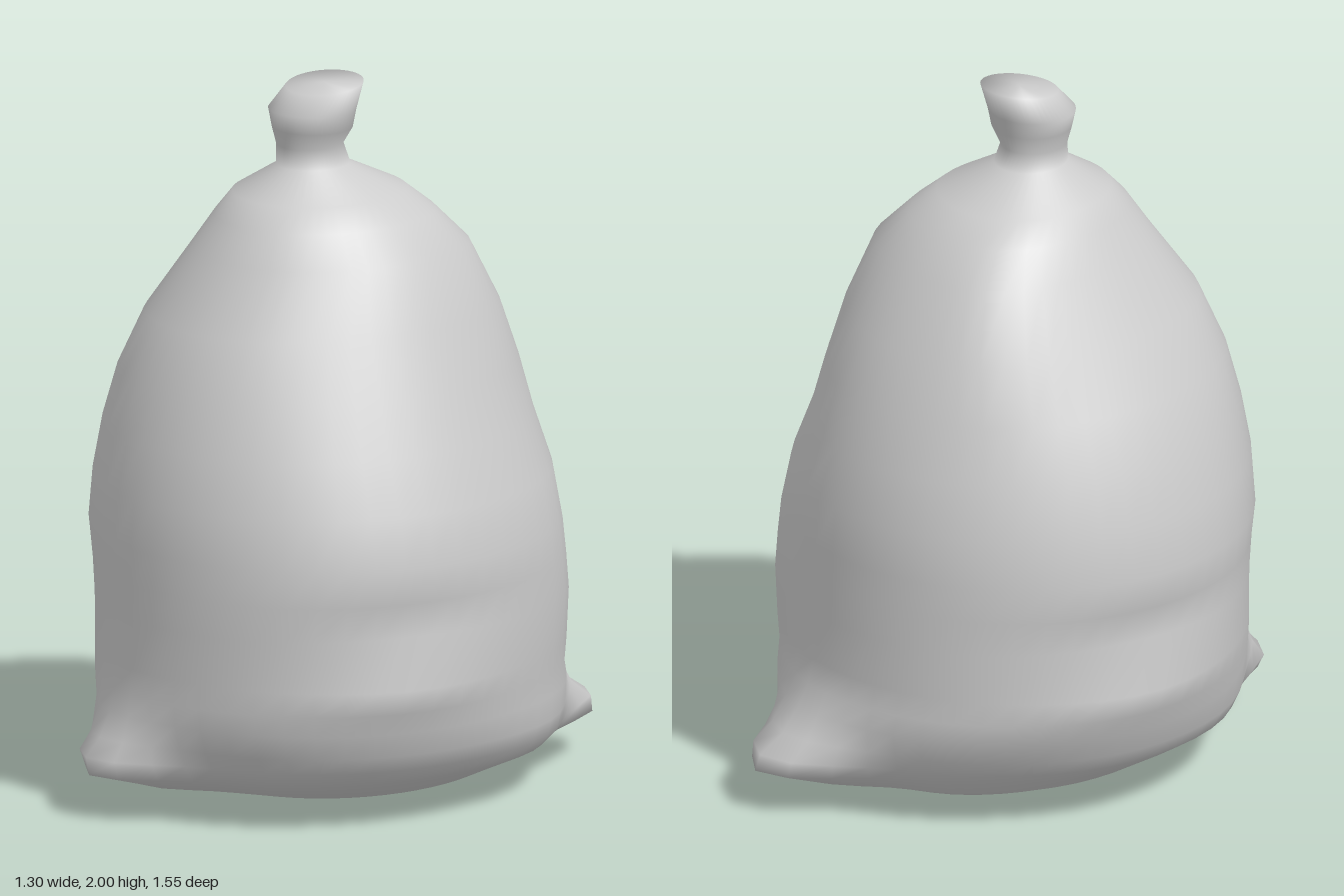
import * as THREE from 'three';

const SEGMENTS = 48;

// Rings from the base upward: [y, xMin, xMax, zBack, zFront, corner strength, slant]
const RINGS = [
  [0.02, -0.23, 0.26, -0.25, 0.25, 0.15],
  [0.045, -0.32, 0.36, -0.44, 0.37, 0.45],
  [0.075, -0.40, 0.42, -0.50, 0.49, 0.7],
  [0.125, -0.48, 0.52, -0.56, 0.58, 1],
  [0.17, -0.55, 0.565, -0.59, 0.61, 0.78],
  [0.22, -0.585, 0.595, -0.61, 0.645, 0.4],
  [0.29, -0.61, 0.615, -0.63, 0.67, 0.15],
  [0.35, -0.625, 0.62, -0.62, 0.675, 0.07],
  [0.42, -0.635, 0.63, -0.615, 0.675, 0.02],
  [0.56, -0.635, 0.635, -0.62, 0.68, 0],
  [0.66, -0.64, 0.64, -0.615, 0.68, 0],
  [0.76, -0.65, 0.64, -0.615, 0.68, 0],
  [0.90, -0.62, 0.61, -0.61, 0.675, 0],
  [1.05, -0.58, 0.55, -0.575, 0.64, 0],
  [1.20, -0.51, 0.50, -0.53, 0.60, 0],
  [1.36, -0.42, 0.43, -0.46, 0.53, 0],
  [1.54, -0.32, 0.36, -0.35, 0.41, 0],
  [1.63, -0.265, 0.285, -0.27, 0.35, 0],
  [1.69, -0.225, 0.22, -0.20, 0.29, 0],
  [1.765, -0.10, 0.09, -0.04, 0.17, 0],
  [1.82, -0.10, 0.075, -0.025, 0.165, 0],
  [1.87, -0.115, 0.11, -0.04, 0.18, 0],
  [1.92, -0.13, 0.12, -0.05, 0.185, 0],
  [1.987, -0.10, 0.12, -0.07, 0.14, 0, 0.12],
];

// Pulled-out bottom corners: one at the front, one at the back
const CORNERS = [
  { angle: 1.84, pull: 0.37 },
  { angle: -1.30, pull: 0.43 },
];

// Soft swells and dents of the cloth: [angle, y, amount, angular width, height]
const FOLDS = [
  // side bulges and the creases above them
  [0.35, 0.42, 0.05, 0.4, 0.08],
  [-2.95, 0.42, 0.04, 0.4, 0.08],
  [0.45, 0.57, -0.045, 0.45, 0.06],
  [-2.9, 0.57, -0.045, 0.4, 0.06],
  // shoulders
  [-2.3, 1.5, 0.13, 0.45, 0.2],
  [-0.65, 1.5, 0.09, 0.45, 0.22],
  [2.45, 1.38, 0.07, 0.5, 0.25],
  [0.75, 1.4, -0.05, 0.45, 0.25],
  // belly
  [-0.75, 0.5, 0.05, 0.4, 0.3],
  [0.8, 0.6, 0.025, 0.4, 0.3],
  [2.36, 0.5, -0.025, 0.35, 0.3],
  // underside
  [-0.6, 0.14, 0.08, 0.45, 0.1],
  [2.5, 0.14, 0.06, 0.45, 0.1],
  [-2.4, 0.16, -0.05, 0.45, 0.12],
];

const bell = (d, width) => Math.exp(-((d / width) ** 2));
const turn = (a, b) => Math.atan2(Math.sin(a - b), Math.cos(a - b));

function ringPoint([y, x0, x1, z0, z1, strength, slant = 0], angle) {
  let scale = 1;
  for (const c of CORNERS) scale += strength * c.pull * bell(turn(angle, c.angle), 0.3);
  for (const [a, h, amount, width, height] of FOLDS) {
    scale += amount * bell(turn(angle, a), width) * bell(y - h, height);
  }
  const x = (x0 + x1) / 2 + ((x1 - x0) / 2) * Math.cos(angle) * scale;
  const dz = ((z1 - z0) / 2) * Math.sin(angle) * scale;
  return [x, y - dz * slant, (z0 + z1) / 2 + dz];
}

// Skin a stack of rings and close each end on a single point
function loft(rings, bottom, top) {
  const positions = [];
  const index = [];
  for (const ring of rings) {
    for (let i = 0; i < SEGMENTS; i++) {
      positions.push(...ringPoint(ring, (i / SEGMENTS) * Math.PI * 2));
    }
  }
  const last = (rings.length - 1) * SEGMENTS;
  const base = positions.length / 3;
  positions.push(...bottom, ...top);
  for (let i = 0; i < SEGMENTS; i++) {
    const j = (i + 1) % SEGMENTS;
    for (let r = 0; r < last; r += SEGMENTS) {
      const a = r + i, b = r + j;
      index.push(a, a + SEGMENTS, b, b, a + SEGMENTS, b + SEGMENTS);
    }
    index.push(i, j, base, last + i, base + 1, last + j);
  }
  const geometry = new THREE.BufferGeometry();
  geometry.setAttribute('position', new THREE.Float32BufferAttribute(positions, 3));
  geometry.setIndex(index);
  geometry.computeVertexNormals();
  return geometry;
}

export function createModel() {
  const group = new THREE.Group();
  group.name = 'sack';

  // Filled bag with two bottom corners, running up into a gathered, slanted neck
  const body = new THREE.Mesh(
    loft(RINGS, [0, 0, 0.05], [0.01, 1.99, 0.035]),
    new THREE.MeshStandardMaterial({ color: 0xcccccc }),
  );
  body.name = 'sackBodyAndNeck';
  group.add(body);
  return group;
}
